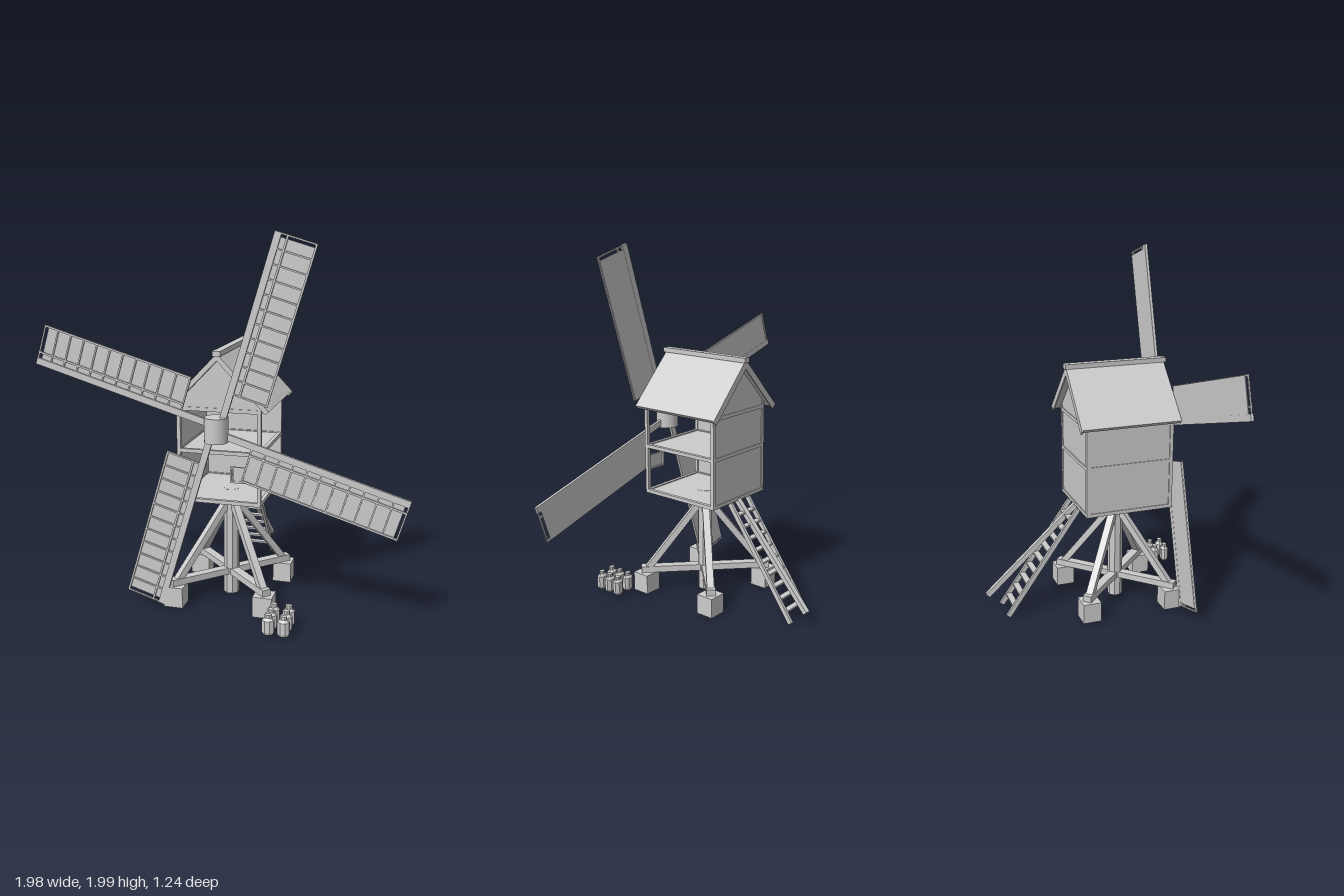
import * as THREE from 'three';

export function createModel() {
  const model = new THREE.Group();
  model.name = 'postMill';
  const grey = new THREE.MeshStandardMaterial({ color: 0xcccccc });
  grey.name = 'grey';
  const CZ = 0.14; // z of the central post

  const add = (name, geo, parent = model) => {
    const m = new THREE.Mesh(geo, grey);
    m.name = name;
    parent.add(m);
    return m;
  };
  const group = (name, parent = model) => {
    const g = new THREE.Group();
    g.name = name;
    parent.add(g);
    return g;
  };
  // box given by its minimum and maximum corners
  const box = (name, a, b, parent) => {
    const m = add(name, new THREE.BoxGeometry(b[0] - a[0], b[1] - a[1], b[2] - a[2]), parent);
    m.position.set((a[0] + b[0]) / 2, (a[1] + b[1]) / 2, (a[2] + b[2]) / 2);
    return m;
  };
  // square timber running from a to b
  const beam = (name, a, b, w, h, parent) => {
    const p = new THREE.Vector3(...a), q = new THREE.Vector3(...b);
    const m = add(name, new THREE.BoxGeometry(w, h, p.distanceTo(q)), parent);
    m.position.copy(p).lerp(q, 0.5);
    m.lookAt(q);
    return m;
  };
  const faceted = (geo) => {
    const g = geo.toNonIndexed();
    g.computeVertexNormals();
    return g;
  };
  const prism = (points, z0, z1) => {
    const s = new THREE.Shape(points.map(([x, y]) => new THREE.Vector2(x, y)));
    return new THREE.ExtrudeGeometry(s, { depth: z1 - z0, bevelEnabled: false }).translate(0, 0, z0);
  };

  // Trestle: footings, crossed beams, struts and central post
  const trestle = group('trestle');
  for (const sx of [-1, 1]) {
    for (const sz of [-1, 1]) {
      const x = sx * 0.245, z = CZ + sz * 0.242;
      box('footing', [x - 0.052, 0.008, z - 0.052], [x + 0.052, 0.12, z + 0.052], trestle);
      beam('strut', [sx * 0.025, 0.53, CZ + sz * 0.025], [sx * 0.235, 0.145, CZ + sz * 0.235],
        0.04, 0.035, trestle);
    }
    beam('crossBeam', [-sx * 0.264, 0.138, CZ - 0.264], [sx * 0.264, 0.138, CZ + 0.264],
      0.05, 0.036, trestle);
  }
  const post = add('centralPost', faceted(new THREE.CylinderGeometry(0.043, 0.043, 0.607, 8)
    .rotateY(Math.PI / 8)), trestle);
  post.position.set(0, 0.3115, CZ);

  // Mill house, open at the front and on its left side
  const house = group('house');
  const X = 0.225, Z0 = -0.11, Z1 = 0.39, T = 0.02;
  for (const x of [-X, X - T]) {
    for (const z of [Z0, Z1 - T]) {
      box('cornerPost', [x, 0.6, z], [x + T, 1.13, z + T], house);
    }
  }
  for (const y of [0.6, 0.866, 1.09]) {
    box('floor', [-X + 0.008, y + 0.004, Z0 + 0.008], [X - 0.008, y + 0.014, Z1 - 0.008], house);
    for (const x of [-X, X - T]) box('sideRail', [x, y, Z0 + T], [x + T, y + T, Z1 - T], house);
    for (const z of [Z0, Z1 - T]) box('endRail', [-X + T, y, z], [X - T, y + T, z + T], house);
  }
  box('backWall', [-X + T, 0.61, Z0 + 0.005], [X - T, 1.11, Z0 + 0.013], house);
  box('sideWall', [-X + 0.005, 0.61, Z0 + T], [-X + 0.013, 1.11, Z1 - T], house);

  // Gables
  const gable = [[-0.225, 1.105], [0.225, 1.105], [0.225, 1.13], [0, 1.37], [-0.225, 1.13]];
  add('frontGable', prism(gable, Z1 - 0.014, Z1 - 0.004), house);
  add('backGable', prism(gable, Z0 + 0.004, Z0 + 0.014), house);

  // Small hanging frame at the front opening
  const hatch = group('hatch', house);
  box('hatchPanel', [0.08, 0.735, 0.397], [0.17, 0.8, 0.401], hatch);
  for (const y of [0.725, 0.8]) box('hatchRail', [0.065, y, 0.392], [0.185, y + 0.01, 0.404], hatch);
  for (const x of [0.065, 0.175]) box('hatchStile', [x, 0.735, 0.392], [x + 0.01, 0.8, 0.404], hatch);

  // Roof
  const roof = group('roof');
  add('roofSlopes', prism([[0, 1.395], [-0.27, 1.112], [-0.253, 1.095], [0, 1.358],
    [0.253, 1.095], [0.27, 1.112]], -0.145, 0.415), roof);
  box('ridgeBeam', [-0.021, 1.382, -0.16], [0.021, 1.408, 0.424], roof);
  for (const s of [-1, 1]) {
    beam('bargeBoard', [0, 1.372, -0.148], [s * 0.262, 1.095, -0.148], 0.008, 0.035, roof);
  }

  // Hub and four sails
  const rotor = group('rotor');
  rotor.position.set(0, 1.008, 0.425);
  add('hub', new THREE.CylinderGeometry(0.062, 0.062, 0.13, 24), rotor);
  for (let i = 0; i < 4; i++) {
    const sail = group('sail', rotor);
    sail.rotation.z = THREE.MathUtils.degToRad(-16.7 + 90 * i);
    box('stock', [0, 0, -0.007], [0.035, 1.033, 0.009], sail);
    box('sailCloth', [0.03, 0.2, -0.006], [0.214, 1.012, -0.002], sail);
    for (const x of [0.062, 0.207]) {
      box('sailBar', [x, 0.2, -0.002], [x + 0.01, 1.033, 0.007], sail);
    }
    for (let k = 0; k <= 11; k++) {
      const y = 0.2 + k * 0.075;
      box('sailSlat', [0.035, y, -0.002], [0.212, y + 0.008, 0.005], sail);
    }
  }

  // Ladder at the back
  const ladder = group('ladder');
  const top = [0.6, -0.11], foot = [0.01, -0.525];
  for (const x of [-0.078, 0.078]) {
    beam('ladderRail', [x, top[0], top[1]], [x, foot[0], foot[1]], 0.016, 0.026, ladder);
  }
  for (let k = 1; k <= 9; k++) {
    const t = k / 10;
    const y = THREE.MathUtils.lerp(top[0], foot[0], t), z = THREE.MathUtils.lerp(top[1], foot[1], t);
    box('tread', [-0.072, y - 0.005, z - 0.017], [0.072, y + 0.005, z + 0.017], ladder);
  }

  // Tail pole
  beam('tailPole', [0, 0.6, -0.1], [0.056, 0.09, -0.61], 0.028, 0.028);

  // Six small churns beside the mill
  const churns = group('churns');
  const profile = [[0, 0.008], [0.023, 0.008], [0.032, 0.022], [0.032, 0.085], [0.018, 0.099],
    [0.018, 0.116], [0, 0.116]].map(([x, y]) => new THREE.Vector2(x, y));
  for (const x of [0.318, 0.397]) {
    for (const z of [0.467, 0.533, 0.598]) {
      const churn = add('churn', faceted(new THREE.LatheGeometry(profile, 8)
        .rotateY(Math.PI / 8).scale(1.05, 1, 0.76)), churns);
      churn.position.set(x, 0, z);
    }
  }
  return model;
}
